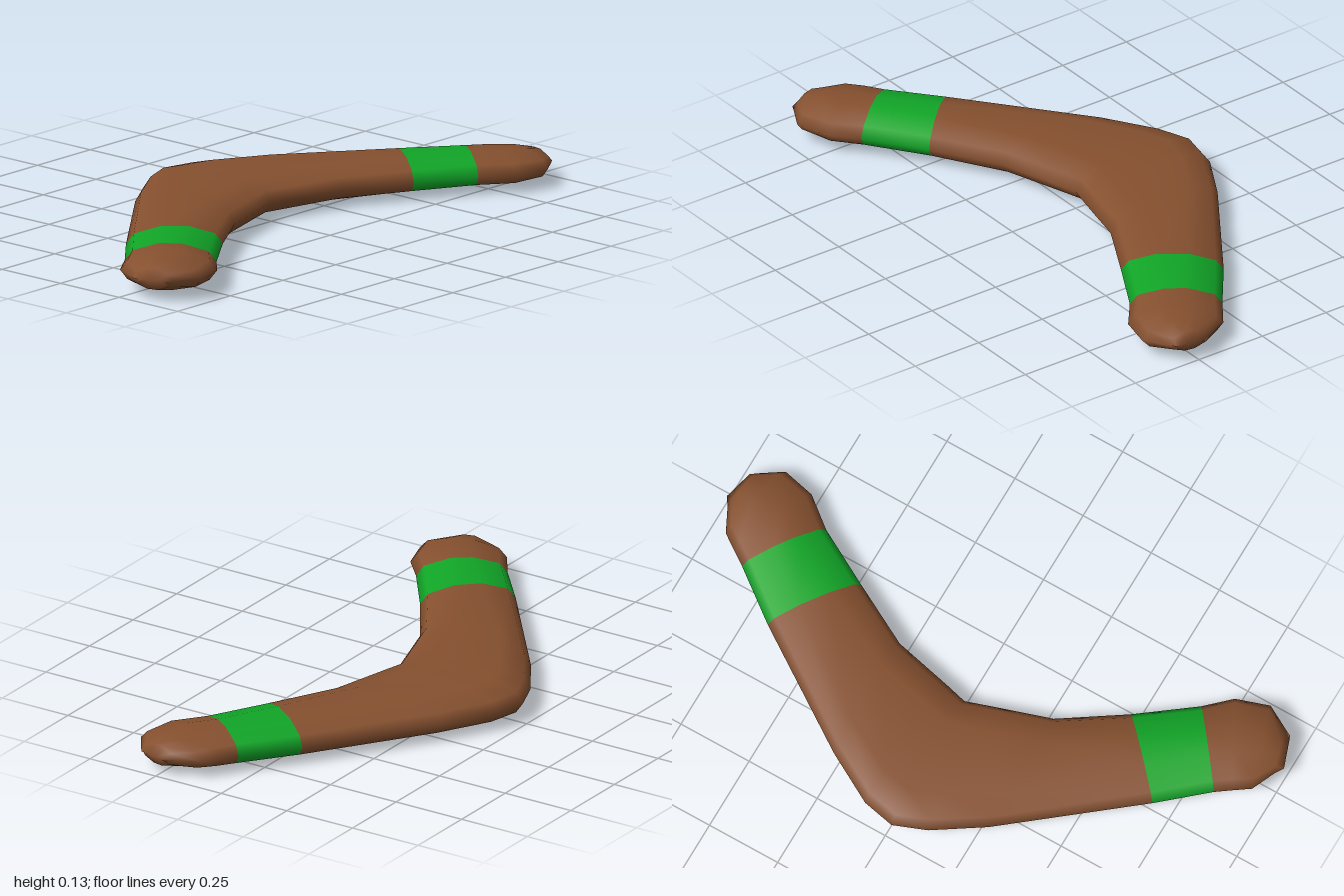
import * as THREE from 'three';
import { mergeVertices } from 'three/addons/utils/BufferGeometryUtils.js';

// Cross-sections from the back tip to the front tip:
// [outer x, outer z, inner x, inner z, mid height, half thickness]
const SECTIONS = [
  [0.22, -1.0, 0.32, -0.975, 0.06, 0],
  [0.19, -0.98, 0.335, -0.955, 0.06, 0.033],
  [0.11, -0.94, 0.385, -0.88, 0.06, 0.046],
  [0.075, -0.89, 0.36, -0.77, 0.06, 0.054],
  [0.04, -0.84, 0.28, -0.67, 0.06, 0.056],
  [-0.09, -0.67, 0.175, -0.48, 0.06, 0.057],
  [-0.36, -0.27, 0.065, -0.275, 0.06, 0.058],
  [-0.455, -0.1, 0.018, -0.07, 0.06, 0.059],
  [-0.478, 0.01, 0, 0, 0.06, 0.06],
  [-0.435, 0.12, 0.025, 0.075, 0.061, 0.06],
  [-0.33, 0.28, 0.09, 0.275, 0.062, 0.06],
  [0, 0.69, 0.225, 0.48, 0.066, 0.059],
  [0.13, 0.84, 0.36, 0.66, 0.068, 0.058],
  [0.165, 0.89, 0.435, 0.74, 0.07, 0.056],
  [0.2, 0.94, 0.472, 0.85, 0.07, 0.048],
  [0.28, 0.975, 0.425, 0.935, 0.07, 0.034],
  [0.31, 0.993, 0.415, 0.955, 0.07, 0],
];
const BANDS = [4, 11]; // segments painted green

// Rounded lens ring: outer edge, over the top, inner edge, back underneath
function ring([ox, oz, ix, iz, y, half]) {
  const width = Math.hypot(ix - ox, iz - oz);
  const a = Math.min(0.025 / width, 0.12);
  const b = Math.min(0.11 / width, 0.38);
  const top = [[0, 0], [a, 0.58], [b, 1], [1 - b, 1], [1 - a, 0.58], [1, 0]];
  const bottom = top.slice(1, 5).reverse().map(([t, h]) => [t, -h]);
  return [...top, ...bottom].map(([t, h]) => [ox + (ix - ox) * t, y + half * h, oz + (iz - oz) * t]);
}

export function createModel() {
  const wood = new THREE.MeshStandardMaterial({ color: 0x85502f });
  wood.name = 'brown wood';
  const paint = new THREE.MeshStandardMaterial({ color: 0x11a527 });
  paint.name = 'green paint';

  // Loft the body through all the rings, one material group per segment
  const rings = SECTIONS.map(ring);
  const n = rings[0].length;
  const index = [];
  let geometry = new THREE.BufferGeometry();
  for (let i = 0; i < rings.length - 1; i++) {
    geometry.addGroup(index.length, n * 6, BANDS.includes(i) ? 1 : 0);
    for (let j = 0; j < n; j++) {
      const a = i * n + j, c = i * n + (j + 1) % n;
      index.push(a, a + n, c, c, a + n, c + n);
    }
  }
  geometry.setAttribute('position', new THREE.Float32BufferAttribute(rings.flat(2), 3));
  geometry.setIndex(index);
  geometry = mergeVertices(geometry, 1e-5); // closes the tips
  geometry.computeVertexNormals();

  const body = new THREE.Mesh(geometry, [wood, paint]);
  body.name = 'bandedBody';
  const group = new THREE.Group();
  group.name = 'boomerang';
  group.add(body);
  return group;
}
